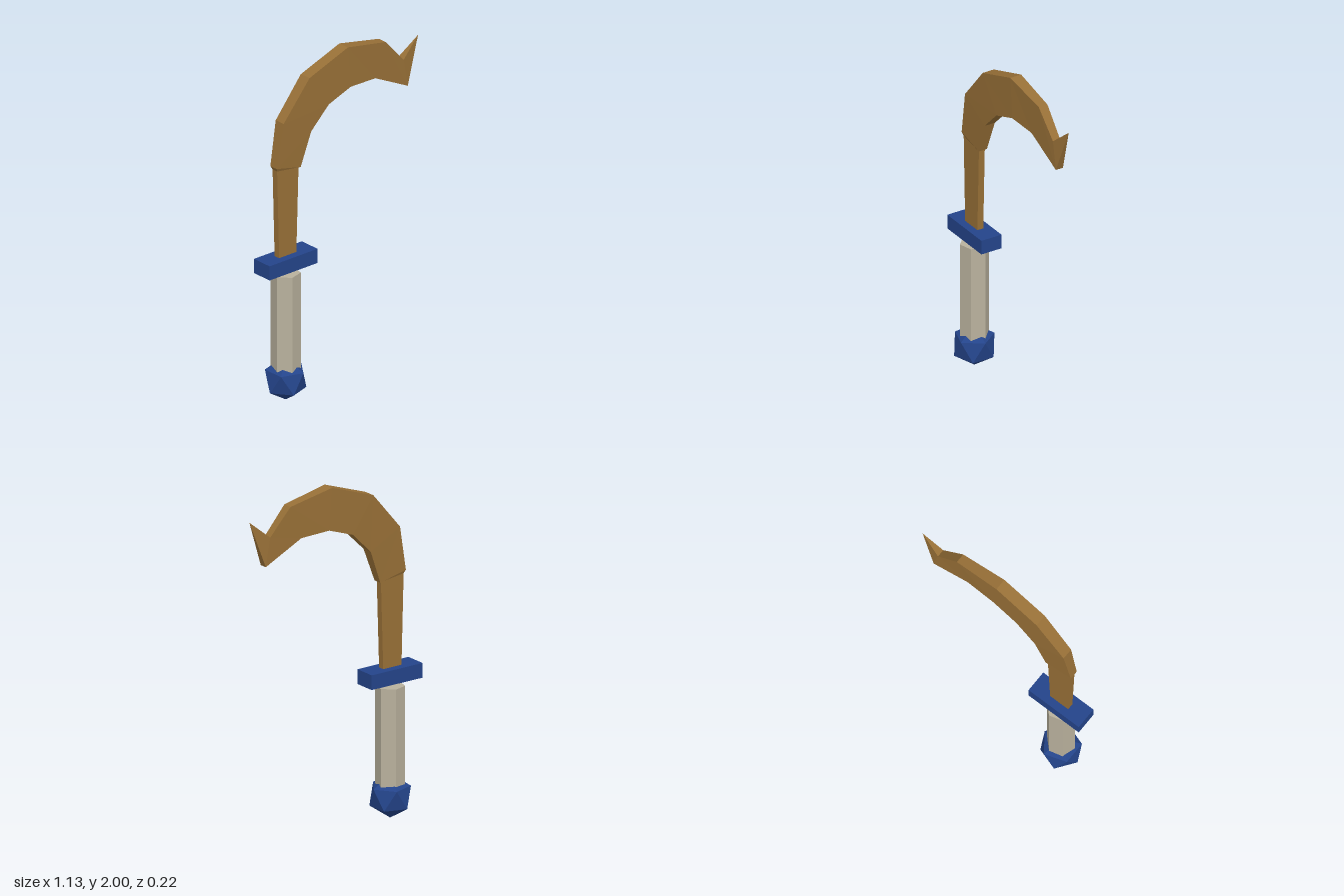
import * as THREE from 'three';

const gold = new THREE.MeshStandardMaterial({ color: 0x987037 });
gold.name = 'bronze blade';
const blue = new THREE.MeshStandardMaterial({ color: 0x24448a });
blue.name = 'blue fittings';
const bone = new THREE.MeshStandardMaterial({ color: 0xb9b19d });
bone.name = 'pale grip';

const HANDLE_X = -0.397;

// Faceted normals for every part
function faceted(geometry) {
  const g = geometry.index ? geometry.toNonIndexed() : geometry;
  g.computeVertexNormals();
  return g;
}

function part(name, geometry, material, x = 0, y = 0) {
  const mesh = new THREE.Mesh(faceted(geometry), material);
  mesh.name = name;
  mesh.position.set(x, y, 0);
  return mesh;
}

// Blade skinned over four-cornered sections: [outer x, y, inner x, y, half thickness]
function bladeGeometry() {
  const sections = [
    [-0.46, 0.86, -0.336, 0.86, 0.019],
    [-0.475, 1.4, -0.32, 1.38, 0.019],
    [-0.485, 1.42, -0.31, 1.38, 0.026],
    [-0.44, 1.68, -0.24, 1.575, 0.033],
    [-0.255, 1.9, -0.115, 1.7, 0.036],
    [0.025, 2.0, 0.045, 1.757, 0.035],
    [0.305, 1.945, 0.23, 1.75, 0.028],
    [0.44, 1.795, 0.47, 1.63, 0.023],
  ];
  const positions = [];
  for (const [ox, oy, ix, iy, t] of sections) {
    positions.push(ox, oy, t, ix, iy, t, ix, iy, -t, ox, oy, -t);
  }
  const tip = sections.length * 4;
  positions.push(0.565, 1.9, 0);

  const index = [0, 3, 2, 0, 2, 1]; // base cap
  for (let s = 0; s < sections.length; s++) {
    for (let k = 0; k < 4; k++) {
      const a = s * 4 + k, b = s * 4 + (k + 1) % 4;
      if (s === sections.length - 1) index.push(a, b, tip); // barb point
      else index.push(a, b, b + 4, a, b + 4, a + 4);
    }
  }
  const g = new THREE.BufferGeometry();
  g.setAttribute('position', new THREE.Float32BufferAttribute(positions, 3));
  g.setIndex(index);
  return g;
}

export function createModel() {
  const model = new THREE.Group();
  model.name = 'hookedSword';

  // Pommel: icosahedron standing on one corner
  const pommel = new THREE.IcosahedronGeometry(0.127, 0);
  pommel.rotateZ(-Math.atan2(1, (1 + Math.sqrt(5)) / 2));
  model.add(part('pommel', pommel, blue, HANDLE_X, 0.128));

  // Six-sided grip, stopping just short of the guard
  const grip = new THREE.CylinderGeometry(0.083, 0.083, 0.605, 6, 1, false, Math.PI / 4);
  model.add(part('grip', grip, bone, HANDLE_X, 0.4625));

  model.add(part('guard', new THREE.BoxGeometry(0.348, 0.085, 0.13), blue, -0.396, 0.8325));
  model.add(part('blade', bladeGeometry(), gold));
  return model;
}
